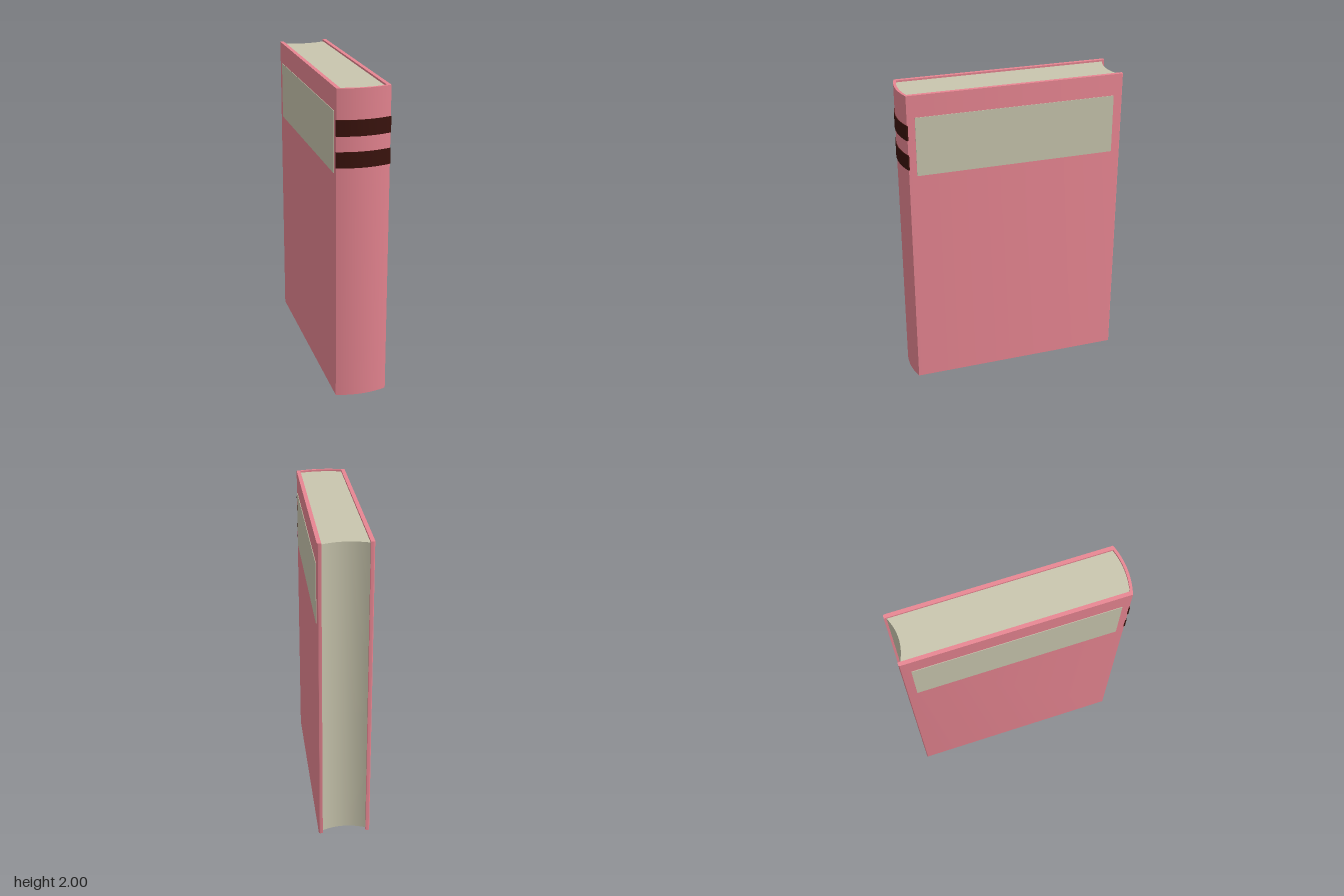
import * as THREE from 'three';
import { toCreasedNormals } from 'three/addons/utils/BufferGeometryUtils.js';

const HALF = 0.165;   // half thickness of the closed book
const INNER = 0.14;   // half thickness of the page block
const BACK = -0.715;  // fore edge of the boards

// Extrudes a plan outline (x, z) upwards from y0 to y1.
function upright(name, shape, y0, y1, material) {
  const geo = new THREE.ExtrudeGeometry(shape, { depth: y1 - y0, bevelEnabled: false, curveSegments: 20 });
  geo.rotateX(Math.PI / 2);
  geo.translate(0, y1, 0);
  const mesh = new THREE.Mesh(toCreasedNormals(geo, 0.45), material);
  mesh.name = name;
  return mesh;
}

// Plan of the case: two boards joined by a rounded spine.
function coverShape() {
  const r = 0.01;
  const s = new THREE.Shape();
  s.moveTo(HALF, BACK + r);
  s.lineTo(HALF, 0.685);
  s.quadraticCurveTo(0, 0.739, -HALF, 0.685);
  s.lineTo(-HALF, BACK + r);
  s.quadraticCurveTo(-HALF, BACK, -HALF + r, BACK);
  s.lineTo(-INNER, BACK);
  s.lineTo(-INNER, 0.675);
  s.quadraticCurveTo(0, 0.715, INNER, 0.675);
  s.lineTo(INNER, BACK);
  s.lineTo(HALF - r, BACK);
  s.quadraticCurveTo(HALF, BACK, HALF, BACK + r);
  return s;
}

// Plan of the page block: rounded at the spine, hollow at the fore edge.
function pageShape() {
  const s = new THREE.Shape();
  s.moveTo(INNER, -0.7);
  s.lineTo(INNER, 0.675);
  s.quadraticCurveTo(0, 0.715, -INNER, 0.675);
  s.lineTo(-INNER, -0.7);
  s.quadraticCurveTo(0, -0.636, INNER, -0.7);
  return s;
}

// Plan of a thin band wrapped over the spine.
function bandShape() {
  const x = HALF + 0.002;
  const s = new THREE.Shape();
  s.moveTo(x, 0.68);
  s.lineTo(x, 0.689);
  s.quadraticCurveTo(0, 0.745, -x, 0.689);
  s.lineTo(-x, 0.68);
  s.quadraticCurveTo(0, 0.73, x, 0.68);
  return s;
}

export function createModel() {
  const book = new THREE.Group();
  book.name = 'book';
  const cloth = new THREE.MeshStandardMaterial({ color: 0xe88692 });
  const paper = new THREE.MeshStandardMaterial({ color: 0xc9c6ae });
  const dark = new THREE.MeshStandardMaterial({ color: 0x3a120c });

  book.add(upright('cover', coverShape(), 0, 2, cloth));
  book.add(upright('pages', pageShape(), 0.012, 1.988, paper));

  // Spine bands
  for (const [i, y] of [1.525, 1.717].entries()) {
    book.add(upright(`spineBand${i + 1}`, bandShape(), y, y + 0.098, dark));
  }

  // Panels on both boards
  for (const side of [-1, 1]) {
    const panel = new THREE.Mesh(new THREE.BoxGeometry(0.006, 0.38, 1.29), paper);
    panel.name = side > 0 ? 'leftPanel' : 'rightPanel';
    panel.position.set(side * HALF, 1.67, -0.01);
    book.add(panel);
  }
  return book;
}
